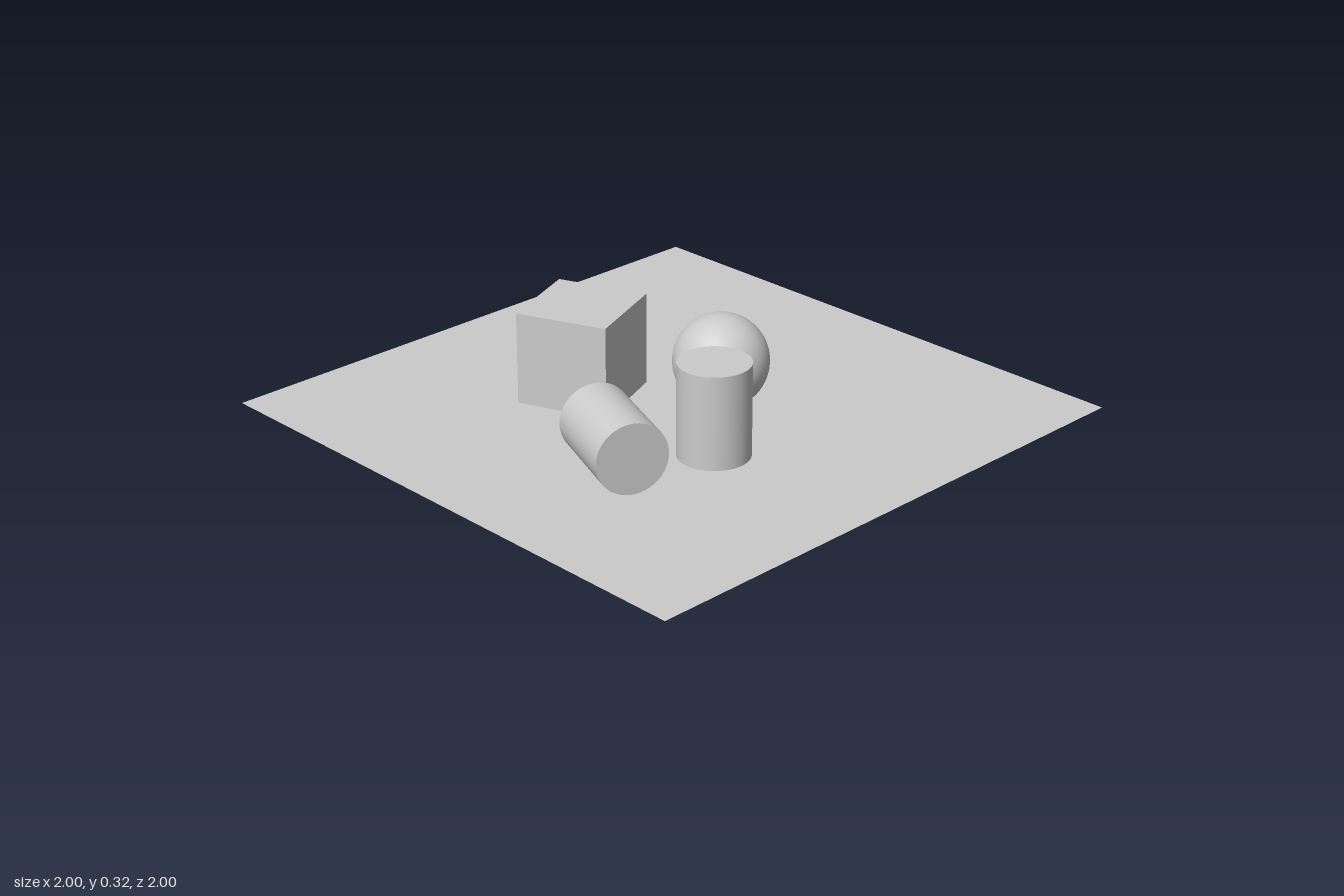
import * as THREE from 'three';

const SIZE = 0.32; // shared height of the solids
const RADIUS = 0.12; // shared cylinder radius

export function createModel() {
  const group = new THREE.Group();
  const material = new THREE.MeshStandardMaterial({ color: 0xcccccc });

  const add = (name, geometry, position, rotation = [0, 0, 0], mat = material) => {
    const mesh = new THREE.Mesh(geometry, mat);
    mesh.name = name;
    mesh.position.set(...position);
    mesh.rotation.set(...rotation);
    group.add(mesh);
  };

  // Thin square ground sheet, visible from both sides
  const sheet = material.clone();
  sheet.side = THREE.DoubleSide;
  add('floor', new THREE.PlaneGeometry(2, 2), [0, 0, 0], [-Math.PI / 2, 0, 0], sheet);

  // Solids resting on the floor
  const cylinder = new THREE.CylinderGeometry(RADIUS, RADIUS, SIZE, 64);
  const turn = THREE.MathUtils.degToRad(22);
  add('cube', new THREE.BoxGeometry(SIZE, SIZE, SIZE), [-0.278, SIZE / 2, 0.138], [0, turn, 0]);
  add('ball', new THREE.SphereGeometry(SIZE / 2, 64, 32), [0.11, SIZE / 2, -0.12]);
  add('standingCylinder', cylinder, [0.354, SIZE / 2, 0.157]);
  add('lyingCylinder', cylinder, [0.23, RADIUS, 0.473], [0, -turn, Math.PI / 2]);

  return group;
}
